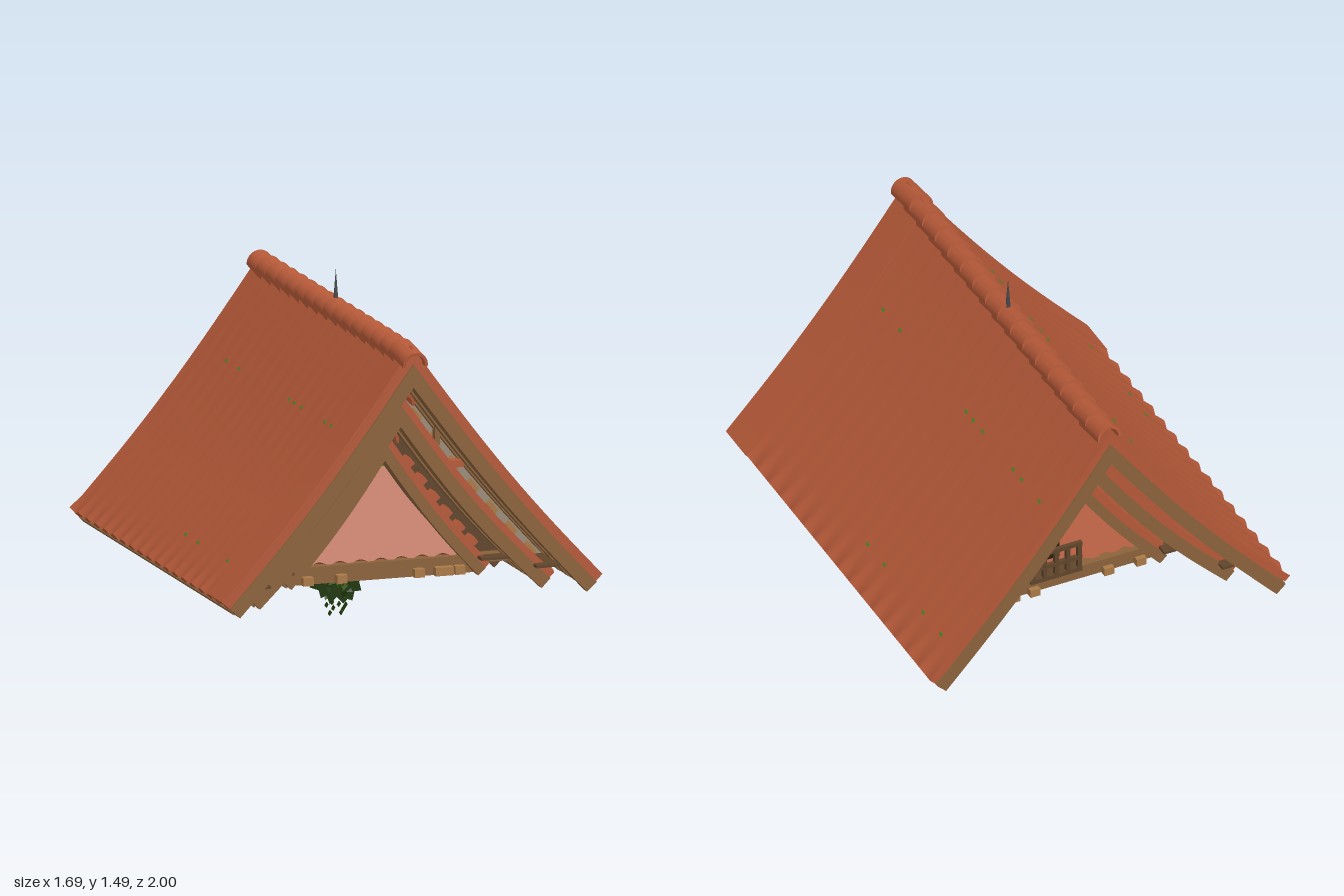
import * as THREE from 'three';
import { toCreasedNormals } from 'three/addons/utils/BufferGeometryUtils.js';

const mat = (name, color) => {
  const m = new THREE.MeshStandardMaterial({ color, side: THREE.DoubleSide });
  m.name = name;
  return m;
};

export function createModel() {
  const tile = mat('terracotta', 0xb55938), wood = mat('timber', 0x8a623b), darkWood = mat('dark timber', 0x5f452a);
  const lightWood = mat('pale timber', 0xaa7a46), plaster = mat('plaster', 0x9a8c7a), iron = mat('iron', 0x44474a);
  const leaf = mat('dark leaf', 0x1c3506), leafLight = mat('light leaf', 0x3a5a10), moss = mat('moss', 0x4c8420);
  const soot = mat('opening', 0x2a1d14);
  const root = new THREE.Group();
  root.name = 'roof';
  const add = (name, geo, m, x = 0, y = 0, z = 0, parent = root) => {
    const mesh = new THREE.Mesh(geo, m);
    mesh.name = name;
    mesh.position.set(x, y, z);
    parent.add(mesh);
    return mesh;
  };
  const box = (name, w, h, d, m, x, y, z, parent) => add(name, new THREE.BoxGeometry(w, h, d), m, x, y, z, parent);

  // Sagging slope: point at t (0 ridge, 1 eave), moved inward by d
  const slopePoint = (r, t, d) => {
    const H = r.peak - r.eave;
    const dy = -H * (1 + r.sag * Math.PI * Math.cos(Math.PI * t)), len = Math.hypot(r.w, dy);
    const y = r.peak - H * (t + r.sag * Math.sin(Math.PI * t));
    if (t === 0) return new THREE.Vector2(0, y - d * len / r.w);
    return new THREE.Vector2(t * r.w + d * dy / len, y - d * r.w / len);
  };
  const halfCurve = (r, d, tEnd) => {
    const pts = [];
    for (let i = 0; i <= 16; i++) {
      const p = slopePoint(r, tEnd * i / 16, d);
      if (i === 0 || p.x > 0.005) pts.push(p);
    }
    return pts;
  };
  // Chevron layer between two depths below the tile surface
  const layer = (name, r, a, b, z0, z1, m, { steps = 1, wavy = false, tEnd = 1 } = {}, parent = root) => {
    const flip = p => new THREE.Vector2(-p.x, p.y);
    const outer = halfCurve(r, a, tEnd), inner = halfCurve(r, b, tEnd);
    const pts = [
      ...outer.slice().reverse(), ...outer.slice(1).map(flip),
      ...inner.slice(1).map(flip).reverse(), ...inner,
    ];
    let geo = new THREE.ExtrudeGeometry(new THREE.Shape(pts), { depth: z1 - z0, steps, bevelEnabled: false });
    geo.translate(0, 0, z0);
    if (wavy) {
      const p = geo.attributes.position;
      for (let i = 0; i < p.count; i++) {
        const x = p.getX(i), edge = THREE.MathUtils.smoothstep(Math.abs(x) / r.w, 0.94, 1);
        const k = (0.001 + 0.007 * edge) * Math.cos(2 * Math.PI * p.getZ(i) / 0.11);
        p.setY(i, p.getY(i) + k);
        p.setX(i, x + Math.sign(x) * k * 0.6 * edge);
      }
    }
    geo = toCreasedNormals(geo, 0.6);
    return add(name, geo, m, 0, 0, 0, parent);
  };

  // Three nested roofs, each lower and shorter than the last
  const roofs = [
    { name: 'outerRoof', peak: 1.335, eave: 0.312, w: 0.835, sag: 0.04, deep: 0.088, z0: -0.985, z1: 0.962 },
    { name: 'middleRoof', peak: 1.13, eave: 0.305, w: 0.685, sag: 0.06, deep: 0.085, z0: -0.8, z1: 0.8 },
    { name: 'innerRoof', peak: 0.93, eave: 0.322, w: 0.47, sag: 0.05, deep: 0.075, z0: -0.6, z1: 0.6 },
  ];
  const capShape = new THREE.Shape();
  capShape.absarc(0, 0, 0.055, -0.15, Math.PI + 0.15, false);
  capShape.absarc(0, 0, 0.042, Math.PI + 0.15, -0.15, true);
  const capGeo = toCreasedNormals(new THREE.ExtrudeGeometry(capShape, { depth: 0.18, bevelEnabled: false, curveSegments: 12 }), 0.6);
  capGeo.translate(0, 0, -0.09);

  for (const r of roofs) {
    const g = new THREE.Group();
    g.name = r.name;
    root.add(g);
    const len = r.z1 - r.z0;
    layer('tiles', r, 0, 0.03, r.z0, r.z1, tile, { steps: Math.round(len / 0.0138), wavy: true }, g);
    layer('sheathing', r, 0.03, 0.045, r.z0 + 0.02, r.z1 - 0.02, wood, { tEnd: 0.995 }, g);
    layer('frontBargeboard', r, 0.03, r.deep, r.z1 - 0.03, r.z1 + 0.012, wood, {}, g);
    layer('backBargeboard', r, 0.03, r.deep, r.z0 - 0.012, r.z0 + 0.03, wood, {}, g);
    const n = Math.round(len / 0.11);
    for (let i = 1; i < n; i++) {
      const z = r.z0 + len * i / n;
      layer('rafter', r, 0.044, r.deep - 0.008, z - 0.026, z + 0.026, wood, { tEnd: 0.98 }, g);
    }
    // Overlapping ridge caps, each tipped down toward the front
    const caps = Math.round((len - 0.06) / 0.13);
    const step = (len + 0.03 - 0.18) / caps;
    for (let i = 0; i <= caps; i++) {
      add('ridgeCap', capGeo, tile, 0, r.peak - 0.036, r.z1 + 0.035 - 0.09 - i * step, g).rotation.x = 0.15;
    }
    // Eave boards along both sides
    for (const s of [-1, 1]) {
      const e = slopePoint(r, 0.982, (r.deep + 0.032) / 2);
      box('eaveBoard', 0.026, r.deep - 0.034, len - 0.04, wood, s * e.x, e.y, (r.z0 + r.z1) / 2, g).rotation.z = s * 0.8;
    }
  }
  const [outer, middle, inner] = roofs;

  // Raised verge course at the front of the outer roof
  layer('vergeTiles', outer, -0.012, 0.01, 0.77, 0.958, tile);

  // Moss flecks on both outer slopes
  for (const s of [-1, 1]) for (const [t, zs] of [[0.315, [0.64, 0.48, -0.15, -0.22, -0.31, -0.6, -0.68, -0.85]], [0.865, [-0.15, -0.31, -0.68, -0.85]]]) {
    const p = slopePoint(outer, t, -0.001);
    for (const z of zs) box('moss', 0.012, 0.006, 0.02, moss, s * p.x, p.y, s * z).rotation.z = -s * 0.88;
  }

  // Plaster and timber infill in the gaps between the roofs
  for (const s of [-1, 1]) {
    const z = s * 0.62;
    layer('plasterInfill', outer, 0.05, 0.155, z - 0.006, z + 0.006, plaster, { tEnd: 0.9 });
    layer('timberInfill', middle, 0.05, 0.135, s * 0.5 - 0.01, s * 0.5 + 0.01, darkWood, { tEnd: 0.9 });
    for (const side of [-1, 1]) {
      for (let i = 0; i < 7; i++) {
        const p = slopePoint(outer, 0.25 + i * 0.1, 0.1);
        box('batten', 0.022, 0.06, 0.04, lightWood, side * p.x, p.y, z, root).rotation.z = side * 0.7;
      }
      box('strut', 0.022, 0.12, 0.03, wood, side * 0.21, 0.92, s * 0.66);
      // Tile courses stepping up beside the inner roof
      for (let i = 2; i < 8; i++) {
        const p = slopePoint(inner, i * 0.12, -0.012);
        box('tileCourse', 0.035, 0.03, 0.08, tile, side * p.x, p.y, s * 0.54).rotation.z = -side * 0.9;
      }
    }
    box('tileLedge', 0.09, 0.03, 0.05, tile, 0.28, 0.775, s * 0.66);
    box('tieBeam', 1.4, 0.035, 0.05, wood, 0, 0.338, s * 0.56);
  }
  // Soffits between the eaves
  for (const s of [-1, 1]) {
    box('outerSoffit', 0.14, 0.012, 1.7, darkWood, s * 0.66, 0.345, 0);
    box('innerSoffit', 0.17, 0.012, 1.3, darkWood, s * 0.5, 0.348, 0);
  }

  // Tiled hip face with a scalloped lower edge
  const hip = new THREE.Shape();
  hip.moveTo(0, 0.5);
  hip.lineTo(-0.365, 0);
  for (let i = 0; i <= 48; i++) hip.lineTo(-0.365 + 0.73 * i / 48, -0.007 * (1 - Math.cos(i * Math.PI / 3)));
  const hipGeo = new THREE.ExtrudeGeometry(hip, { depth: 0.025, bevelEnabled: false });
  const ventShape = new THREE.Shape();
  ventShape.moveTo(-0.017, 0);
  ventShape.lineTo(0.017, 0);
  ventShape.lineTo(0.017, 0.065);
  ventShape.absarc(0, 0.065, 0.017, 0, Math.PI, false);
  const ventGeo = new THREE.ExtrudeGeometry(ventShape, { depth: 0.08, bevelEnabled: false });
  for (const s of [-1, 1]) {
    const g = new THREE.Group();
    g.name = s > 0 ? 'frontHip' : 'backHip';
    g.rotation.y = s > 0 ? 0 : Math.PI;
    root.add(g);
    add('hipTiles', hipGeo, tile, 0, 0.358, 0.53, g).rotation.x = -0.35;
    box('hipEaveBoard', 0.72, 0.02, 0.03, darkWood, 0, 0.34, 0.53, g);
    add('vent', ventGeo, soot, 0, 0.738, 0.39, g);
    for (const x of [-0.04, 0.035, 0.05]) box('moss', 0.018, 0.009, 0.02, moss, x, 0.735, 0.425, g);
  }

  // Small railed gallery at the back
  const gallery = new THREE.Group();
  gallery.name = 'backGallery';
  gallery.position.x = 0.07;
  root.add(gallery);
  box('doorway', 0.1, 0.18, 0.02, soot, 0, 0.46, -0.53, gallery);
  box('galleryFloor', 0.24, 0.02, 0.1, darkWood, 0, 0.37, -0.57, gallery);
  for (const y of [0.43, 0.5]) box('rail', 0.24, 0.018, 0.018, darkWood, 0, y, -0.61, gallery);
  for (let i = -2; i <= 2; i++) box('baluster', 0.018, 0.14, 0.018, darkWood, i * 0.054, 0.435, -0.61, gallery);

  // Base frame with projecting joist ends
  const frame = new THREE.Group();
  frame.name = 'baseFrame';
  root.add(frame);
  for (const s of [-1, 1]) {
    box('crossBeam', 0.86, 0.05, 0.07, wood, 0, 0.302, s * 0.53, frame);
    box('sideBeam', 0.07, 0.045, 1.0, wood, s * 0.38, 0.3, 0, frame);
    box('innerBeam', 0.05, 0.04, 0.94, darkWood, s * 0.2, 0.31, 0, frame);
    box('plasterCeiling', 0.11, 0.01, 0.6, plaster, s * 0.1, 0.328, 0, frame);
    for (const x of [-0.335, -0.185, 0.16, 0.27, 0.34]) box('joistEnd', x > 0.2 && x < 0.3 ? 0.08 : 0.045, 0.036, 0.12, lightWood, x, 0.296, s * 0.54, frame);
    for (let i = -4; i <= 4; i++) box('sideJoistEnd', 0.1, 0.035, 0.045, lightWood, s * 0.39, 0.29, i * 0.11, frame);
  }
  box('floor', 0.8, 0.012, 1.0, darkWood, 0, 0.342, 0, frame);
  box('hangerBeam', 0.74, 0.04, 0.05, darkWood, 0, 0.31, 0, frame);

  // Hanging foliage: a ragged card with loose leaves
  let seed = 7;
  const rand = () => (seed = (seed * 16807) % 2147483647) / 2147483647;
  const vine = new THREE.Shape([
    [-0.115, 0.28], [-0.12, 0.22], [-0.1, 0.2], [-0.12, 0.13], [-0.08, 0.115], [-0.07, 0.08], [-0.045, 0.09], [-0.03, 0.05],
    [0, 0.08], [0.03, 0.05], [0.05, 0.07], [0.07, 0.06], [0.08, 0.1], [0.11, 0.1], [0.1, 0.14], [0.13, 0.16],
    [0.11, 0.19], [0.145, 0.22], [0.115, 0.235], [0.13, 0.27], [0.1, 0.28],
  ].map(([x, y]) => new THREE.Vector2(x, y)));
  add('vine', new THREE.ShapeGeometry(vine), leaf);
  const leafGeo = new THREE.CircleGeometry(0.02, 3);
  for (let i = 0; i < 60; i++) {
    const y = 0.08 + 0.18 * rand(), half = 0.05 + 0.3 * (y - 0.06);
    const m = add('leaf', leafGeo, i % 5 ? leaf : leafLight, (rand() * 2 - 1) * Math.min(half, 0.1), y, (rand() - 0.5) * 0.012);
    m.rotation.set((rand() - 0.5) * 0.8, (rand() - 0.5) * 0.8, rand() * 6);
  }
  const trailGeo = new THREE.CircleGeometry(0.014, 4);
  for (const [x, y] of [[-0.03, 0.014], [0.02, 0.014], [-0.045, 0.05], [-0.015, 0.035], [0.01, 0.05], [0.04, 0.045], [-0.02, 0.06], [0.03, 0.03]]) {
    add('trailingLeaf', trailGeo, leaf, x, y, 0).rotation.y = 0.5;
  }

  // Iron spike on the ridge
  add('spike', new THREE.ConeGeometry(0.014, 0.17, 8), iron, 0, 1.405, -0.01);
  return root;
}
